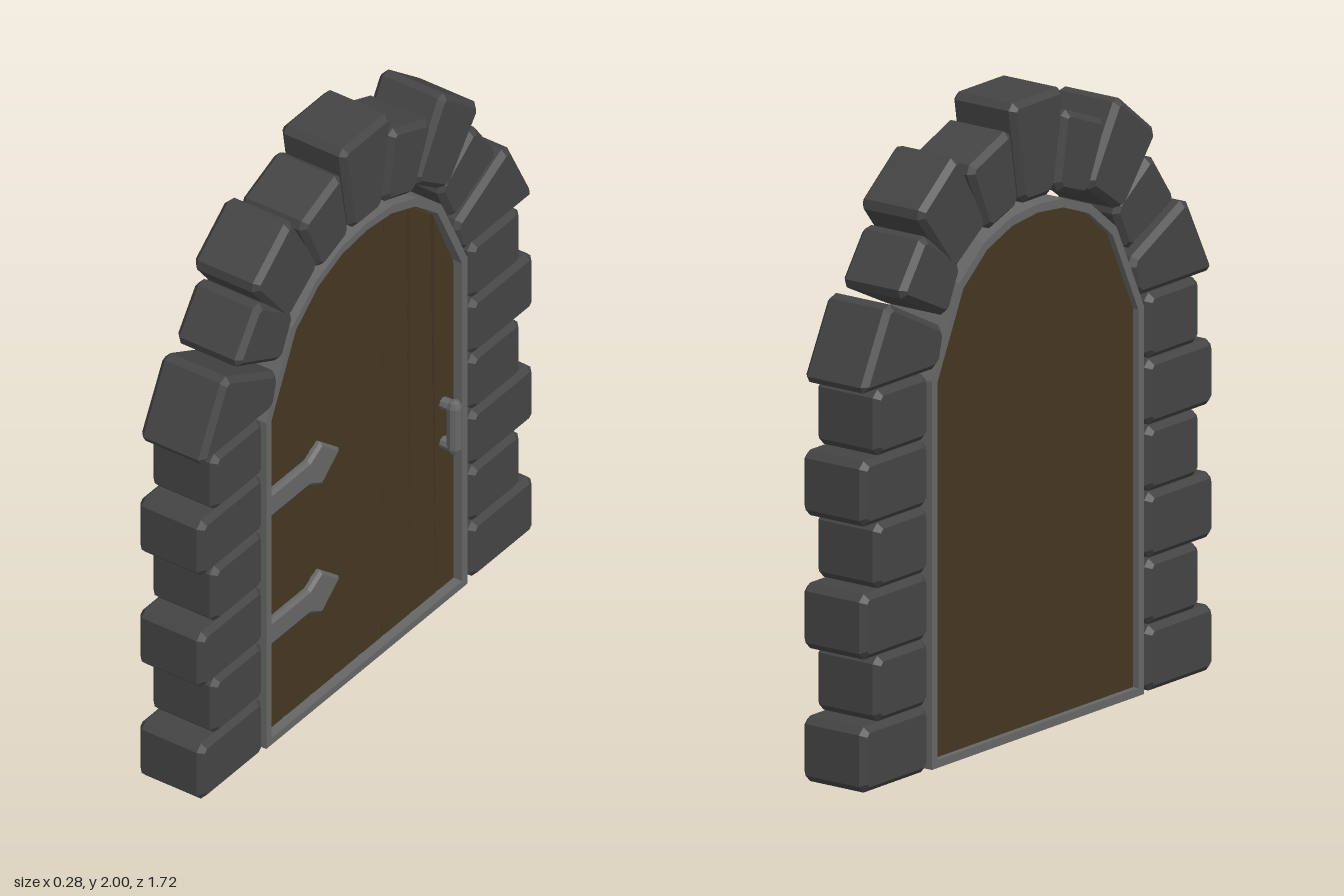
import * as THREE from 'three';

const stoneMat = new THREE.MeshStandardMaterial({ color: 0x444444, flatShading: true });
const ironMat = new THREE.MeshStandardMaterial({ color: 0x666666, flatShading: true });
const woodMat = new THREE.MeshStandardMaterial({ color: 0x443622, flatShading: true });

const BACK = -0.14, FRONT = 0.1;

// Extrude a [u, y] outline along x; u runs towards -z. Bevels stay inside the outline.
function slab(name, points, x0, x1, bevel, material, hole) {
  const toVectors = (list) => list.map(([u, y]) => new THREE.Vector2(u, y));
  const shape = new THREE.Shape(toVectors(points));
  if (hole) shape.holes.push(new THREE.Path(toVectors(hole)));
  const geometry = new THREE.ExtrudeGeometry(shape, {
    depth: x1 - x0 - 2 * bevel,
    bevelEnabled: bevel > 0,
    bevelThickness: bevel,
    bevelSize: bevel,
    bevelOffset: -bevel,
    bevelSegments: 1,
  });
  geometry.translate(0, 0, x0 + bevel);
  geometry.rotateY(Math.PI / 2);
  const mesh = new THREE.Mesh(geometry, material);
  mesh.name = name;
  return mesh;
}

// Cut every corner of an outline by a fixed length
function cutCorners(points, cut) {
  const out = [];
  points.forEach((p, i) => {
    const n = points.length;
    for (const q of [points[(i + n - 1) % n], points[(i + 1) % n]]) {
      const t = cut / Math.hypot(q[0] - p[0], q[1] - p[1]);
      out.push([p[0] + (q[0] - p[0]) * t, p[1] + (q[1] - p[1]) * t]);
    }
  });
  return out;
}

const mirror = (points) => points.map(([u, y]) => [-u, y]).reverse();
const stone = (name, points) => slab(name, cutCorners(points, 0.022), BACK, FRONT, 0.018, stoneMat);

// Right half of the arch outline, from springing to crown
const ARCH = [[0.52, 1.22], [0.385, 1.5], [0.26, 1.6], [0.13, 1.648], [0, 1.66]];
const INNER = [[0.492, 1.215], [0.366, 1.478], [0.25, 1.573], [0.126, 1.62], [0, 1.633]];

function archOutline(half, bottom) {
  return [[-half[0][0], bottom], [half[0][0], bottom], ...half,
    ...half.slice(0, -1).reverse().map(([u, y]) => [-u, y])];
}

// Height of the inner arch at a given u
function archHeight(u) {
  const a = Math.abs(u);
  for (let i = 0; i < INNER.length - 1; i++) {
    const [u0, y0] = INNER[i], [u1, y1] = INNER[i + 1];
    if (a >= u1) return y0 + ((y1 - y0) * (u0 - Math.min(a, u0))) / (u0 - u1);
  }
  return INNER[4][1];
}

function buildStones() {
  const group = new THREE.Group();
  group.name = 'stoneSurround';
  // Jamb blocks, alternately wide and narrow
  for (let i = 0; i < 6; i++) {
    const outer = i % 2 ? 0.795 : 0.862;
    const y0 = i * 0.209, y1 = y0 + 0.206;
    const block = [[0.536, y0], [outer, y0], [outer, y1], [0.536, y1]];
    group.add(stone('jambStoneRight', block), stone('jambStoneLeft', mirror(block)));
  }
  // Arch blocks from springing to crown
  const voussoirs = [
    [[0.482, 1.255], [0.865, 1.255], [0.732, 1.515], [0.452, 1.375]],
    [[0.44, 1.405], [0.68, 1.52], [0.558, 1.692], [0.37, 1.558]],
    [[0.415, 1.535], [0.59, 1.755], [0.395, 1.91], [0.245, 1.655]],
    [[0.245, 1.625], [0.342, 1.845], [0.13, 1.928], [0.088, 1.68]],
  ];
  for (const v of voussoirs) {
    group.add(stone('archStoneRight', v), stone('archStoneLeft', mirror(v)));
  }
  group.add(stone('keystone', [[-0.08, 1.675], [0.08, 1.675], [0.132, 2], [-0.132, 2]]));
  return group;
}

function buildDoor() {
  const group = new THREE.Group();
  group.name = 'door';
  group.add(slab('ironFrame', archOutline(ARCH, 0), BACK + 0.005, FRONT - 0.005, 0,
    ironMat, archOutline(INNER, 0.025)));
  group.add(slab('backPanel', archOutline(INNER, 0.025), BACK + 0.025, 0.05, 0, woodMat));

  // Planks between slightly leaning seams, given as [u at bottom, u at top]
  const seams = [[-0.492, -0.492], [-0.388, -0.374], [-0.248, -0.262], [-0.124, -0.13],
    [0, 0], [0.122, 0.13], [0.272, 0.247], [0.4, 0.374], [0.492, 0.492]];
  const gap = 0.002;
  for (let i = 0; i < 8; i++) {
    const [b0, t0] = seams[i], [b1, t1] = seams[i + 1];
    const points = [[b0 + gap, 0.025], [b1 - gap, 0.025], [t1 - gap, archHeight(t1)]];
    for (const k of INNER.flatMap(([u]) => [u, -u]).sort((a, b) => b - a)) {
      if (k < t1 - 0.03 && k > t0 + 0.03) points.push([k, archHeight(k)]);
    }
    points.push([t0 + gap, archHeight(t0)]);
    group.add(slab('plank', points, 0.03, 0.07, 0.009, woodMat));
  }
  return group;
}

function buildFittings() {
  const group = new THREE.Group();
  group.name = 'fittings';
  // Arrow-headed hinge straps
  for (const y of [0.41, 0.89]) {
    const strap = [[-0.492, -0.045], [-0.29, -0.045], [-0.225, -0.08], [-0.128, 0],
      [-0.225, 0.08], [-0.29, 0.045], [-0.492, 0.045]];
    group.add(slab('hingeStrap', strap.map(([u, v]) => [u, v + y]), 0.06, 0.092, 0.01, ironMat));
  }
  // Pull handle on two standoffs
  const handle = new THREE.Group();
  handle.name = 'handle';
  handle.position.set(0, 0.65, -0.427);
  const grip = new THREE.Mesh(new THREE.CapsuleGeometry(0.024, 0.152, 2, 8), ironMat);
  grip.name = 'handleGrip';
  grip.position.x = 0.113;
  handle.add(grip);
  for (const y of [-0.073, 0.073]) {
    const post = new THREE.Mesh(new THREE.CylinderGeometry(0.02, 0.02, 0.06, 8), ironMat);
    post.name = 'handlePost';
    post.rotation.z = Math.PI / 2;
    post.position.set(0.085, y, 0);
    handle.add(post);
  }
  group.add(handle);
  return group;
}

export function createModel() {
  const model = new THREE.Group();
  model.name = 'archedDoorway';
  model.add(buildStones(), buildDoor(), buildFittings());
  return model;
}
